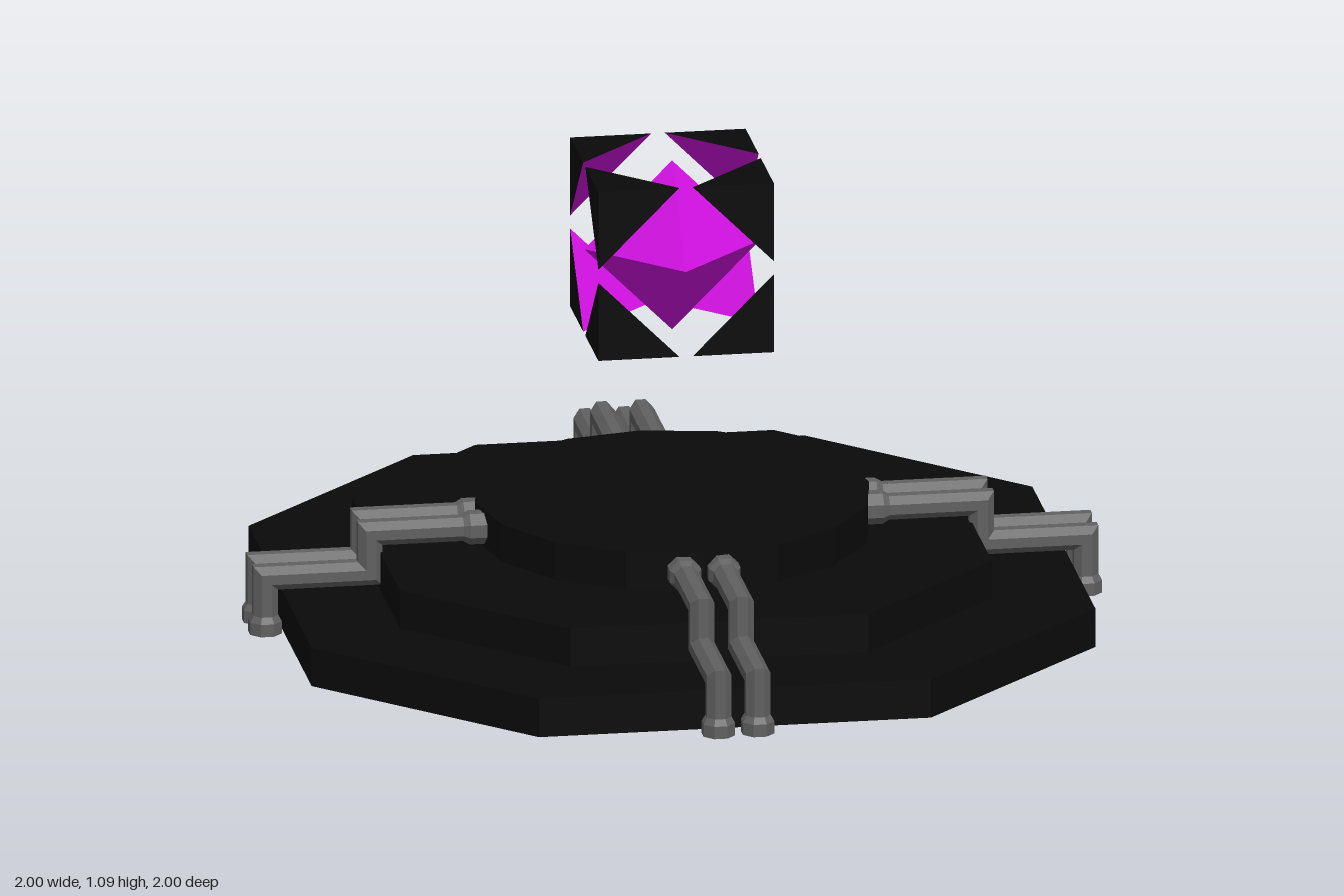
import * as THREE from 'three';

const black = new THREE.MeshStandardMaterial({ color: 0x0a0a0a, flatShading: true });
const grey = new THREE.MeshStandardMaterial({ color: 0x606060, flatShading: true });
const magenta = new THREE.MeshStandardMaterial({ color: 0xd010e0, flatShading: true });

function addMesh(parent, name, geometry, material) {
  const mesh = new THREE.Mesh(geometry, material);
  mesh.name = name;
  parent.add(mesh);
  return mesh;
}

function fromTriangles(points) {
  const geometry = new THREE.BufferGeometry().setFromPoints(points);
  geometry.computeVertexNormals();
  return geometry;
}

// Square slab with cut corners: h = half width, c = half length of a straight side
function slab(h, c, height) {
  const outline = [[h, -c], [h, c], [c, h], [-c, h], [-h, c], [-h, -c], [-c, -h], [c, -h]];
  const shape = new THREE.Shape(outline.map(([x, y]) => new THREE.Vector2(x, y)));
  return new THREE.ExtrudeGeometry(shape, { depth: height, bevelEnabled: false }).rotateX(-Math.PI / 2);
}

// Eight-sided pipe with mitred elbows; path entries are [x, y, radius]
function pipe(path, sides = 8) {
  const pts = path.map(([x, y]) => new THREE.Vector2(x, y));
  const last = pts.length - 1;
  const direction = (i) => pts[i + 1].clone().sub(pts[i]).normalize();
  const rings = path.map(([x, y, r], i) => {
    const before = direction(Math.max(i - 1, 0));
    const after = direction(Math.min(i, last - 1));
    const tangent = before.clone().add(after).normalize();
    const stretch = 1 / tangent.dot(after);
    return Array.from({ length: sides }, (_, j) => {
      const a = ((j + 0.5) / sides) * Math.PI * 2;
      const n = Math.cos(a) * r * stretch;
      return new THREE.Vector3(x - tangent.y * n, y + tangent.x * n, Math.sin(a) * r);
    });
  });
  const tris = [];
  const start = new THREE.Vector3(pts[0].x, pts[0].y, 0);
  const end = new THREE.Vector3(pts[last].x, pts[last].y, 0);
  for (let j = 0; j < sides; j++) {
    const k = (j + 1) % sides;
    for (let i = 0; i < last; i++) {
      const p = rings[i], q = rings[i + 1];
      tris.push(p[j], p[k], q[j], p[k], q[k], q[j]);
    }
    tris.push(start, rings[0][k], rings[0][j], end, rings[last][j], rings[last][k]);
  }
  return fromTriangles(tris);
}

export function createModel() {
  const model = new THREE.Group();
  model.name = 'crystalPedestal';

  // Stepped base
  addMesh(model, 'lowerTier', slab(0.92, 0.46, 0.094), black);
  addMesh(model, 'middleTier', slab(0.695, 0.35, 0.093), black).position.y = 0.093;
  addMesh(model, 'topTier', new THREE.CylinderGeometry(0.463, 0.463, 0.094, 16), black).position.y = 0.231;

  // Pairs of stepped pipes with flared ends, one pair per side
  const pipeGeometry = pipe([
    [0.963, 0, 0.04], [0.963, 0.03, 0.04], [0.963, 0.045, 0.031],
    [0.963, 0.135, 0.031], [0.718, 0.135, 0.031], [0.718, 0.231, 0.031],
    [0.5, 0.231, 0.031], [0.485, 0.231, 0.04], [0.43, 0.231, 0.04],
  ]);
  for (let i = 0; i < 4; i++) {
    const pair = new THREE.Group();
    pair.name = 'pipePair';
    pair.rotation.y = (i * Math.PI) / 2;
    for (const z of [-0.046, 0.046]) {
      addMesh(pair, 'pipe', pipeGeometry, grey).position.z = z;
    }
    model.add(pair);
  }

  // Floating crystal inside eight separate cube corners
  const half = 0.206, leg = 0.19;
  const cube = new THREE.Group();
  cube.name = 'floatingCube';
  cube.position.y = 0.88;
  model.add(cube);
  addMesh(cube, 'crystal', new THREE.OctahedronGeometry(half), magenta);
  for (const sx of [-1, 1]) for (const sy of [-1, 1]) for (const sz of [-1, 1]) {
    const corner = new THREE.Group();
    corner.name = 'cubeCorner';
    const at = (x, y, z) => new THREE.Vector3(sx * x, sy * y, sz * z);
    const cut = half - leg;
    const a = at(half, half, half), d = at(half, half, cut);
    let b = at(cut, half, half), c = at(half, cut, half);
    if (sx * sy * sz < 0) [b, c] = [c, b];
    addMesh(corner, 'cornerShell', fromTriangles([a, b, c, a, c, d, a, d, b]), black);
    addMesh(corner, 'cornerInnerFace', fromTriangles([b, d, c]), magenta);
    cube.add(corner);
  }

  return model;
}
